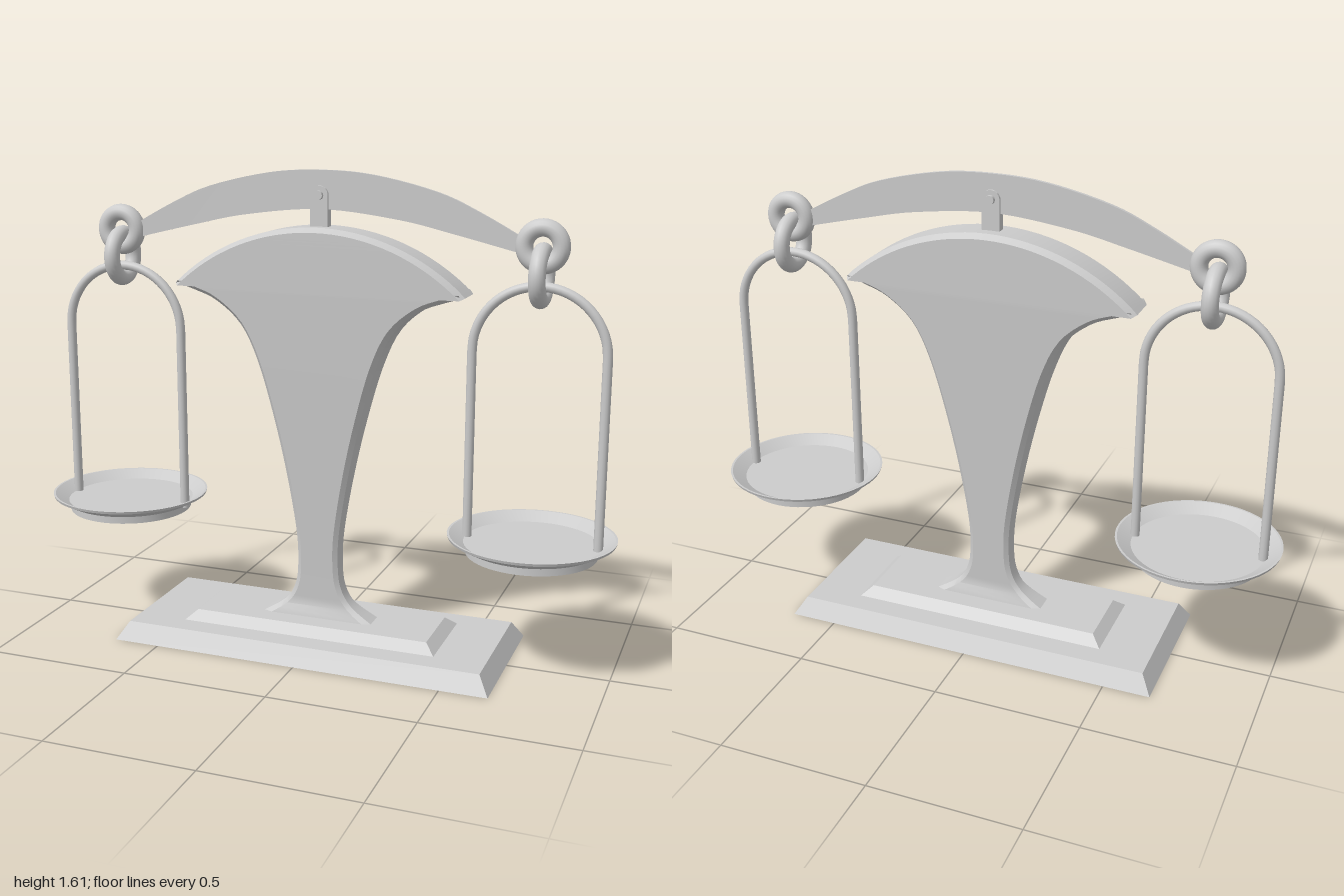
import * as THREE from 'three';
import { toCreasedNormals } from 'three/addons/utils/BufferGeometryUtils.js';

const material = new THREE.MeshStandardMaterial({ color: 0xcccccc });
const V2 = (x, y) => new THREE.Vector2(x, y);

function add(parent, name, geometry, x = 0, y = 0, z = 0) {
  const mesh = new THREE.Mesh(geometry, material);
  mesh.name = name;
  mesh.position.set(x, y, z);
  parent.add(mesh);
  return mesh;
}

// Box whose top is pulled in on all four sides
function slab(w, h, d, inset) {
  const g = new THREE.BoxGeometry(w, h, d).translate(0, h / 2, 0).toNonIndexed();
  const p = g.attributes.position;
  for (let i = 0; i < p.count; i++) {
    if (p.getY(i) < h / 2) continue;
    p.setX(i, p.getX(i) - Math.sign(p.getX(i)) * inset);
    p.setZ(i, p.getZ(i) - Math.sign(p.getZ(i)) * inset);
  }
  g.computeVertexNormals();
  return g;
}

// Half thickness of the pillar at a given height
function pillarDepth(y) {
  const { clamp, lerp } = THREE.MathUtils;
  if (y < 0.15) return lerp(0.05, 0.032, clamp((y - 0.09) / 0.06, 0, 1));
  return lerp(0.032, 0.073, clamp((y - 0.15) / 1.05, 0, 1));
}

// Flared pillar: eight-cornered sections follow the half outline, with bevelled edges
function pillarGeometry() {
  const side = new THREE.SplineCurve([
    V2(0.205, 0.085), V2(0.12, 0.14), V2(0.083, 0.2), V2(0.072, 0.28), V2(0.077, 0.4), V2(0.11, 0.6),
    V2(0.155, 0.8), V2(0.207, 0.98), V2(0.265, 1.1), V2(0.35, 1.175), V2(0.43, 1.208), V2(0.5, 1.228),
  ]).getPoints(44);
  const r = 0.725, start = Math.asin(0.5 / r), crown = [];
  for (let i = 1; i <= 16; i++) {
    const a = start * (1 - i / 16);
    crown.push(V2(r * Math.sin(a), 1.43 - r + r * Math.cos(a)));
  }
  const line = [...side, ...crown], pos = [], index = [];
  line.forEach((p, i) => {
    const t = line[Math.min(i + 1, line.length - 1)].clone().sub(line[Math.max(i - 1, 0)]).normalize();
    const qx = i === line.length - 1 ? 0 : Math.max(0, p.x - 0.015 * t.y);
    const qy = p.y + 0.015 * t.x;
    const zf = pillarDepth(p.y), ze = zf * 0.7;
    pos.push(p.x, p.y, ze, qx, qy, zf, -qx, qy, zf, -p.x, p.y, ze);
    pos.push(-p.x, p.y, -ze, -qx, qy, -zf, qx, qy, -zf, p.x, p.y, -ze);
    if (i === 0) return;
    for (let j = 0; j < 8; j++) {
      const a = (i - 1) * 8 + j, b = (i - 1) * 8 + (j + 1) % 8;
      index.push(a, a + 8, b + 8, a, b + 8, b);
    }
  });
  const g = new THREE.BufferGeometry();
  g.setAttribute('position', new THREE.Float32BufferAttribute(pos, 3));
  g.setIndex(index);
  return toCreasedNormals(g, 0.4);
}

// Thin bowed beam tapering to both ends
function beamGeometry() {
  const mirror = (pts) => [...pts.slice(1).reverse().map((p) => V2(-p.x, p.y)), ...pts];
  const top = mirror([V2(0, 1.61), V2(0.18, 1.598), V2(0.39, 1.55), V2(0.53, 1.49), V2(0.68, 1.41)]);
  const under = mirror([V2(0, 1.485), V2(0.26, 1.46), V2(0.45, 1.42), V2(0.68, 1.365)]);
  const outline = [
    ...new THREE.SplineCurve(top).getPoints(40).reverse(),
    ...new THREE.SplineCurve(under).getPoints(40),
  ];
  const g = new THREE.ExtrudeGeometry(new THREE.Shape(outline), { depth: 0.012, bevelEnabled: false });
  return toCreasedNormals(g.translate(0, 0, -0.006), 0.5);
}

// Round-topped tab carrying the beam
function bracketGeometry() {
  const s = new THREE.Shape();
  s.moveTo(-0.03, 1.4);
  s.lineTo(0.03, 1.4);
  s.lineTo(0.03, 1.53);
  s.absarc(0, 1.53, 0.03, 0, Math.PI);
  s.closePath();
  const g = new THREE.ExtrudeGeometry(s, { depth: 0.03, bevelEnabled: false, curveSegments: 16 });
  return toCreasedNormals(g.translate(0, 0, -0.015), 0.5);
}

// Dish with a raised sloping rim and a short foot
function panGeometry() {
  const profile = [
    V2(0, 0.403), V2(0.213, 0.403), V2(0.213, 0.43), V2(0.222, 0.43),
    V2(0.27, 0.455), V2(0.273, 0.464), V2(0.266, 0.464), V2(0.22, 0.437), V2(0, 0.437),
  ];
  return toCreasedNormals(new THREE.LatheGeometry(profile, 56), 0.4);
}

// Arched wire: two straight legs joined by a half circle
function hangerGeometry() {
  const r = 0.214, spring = 1.056, path = new THREE.CurvePath();
  const arch = [];
  for (let i = 0; i <= 16; i++) {
    const a = Math.PI * (1 - i / 16);
    arch.push(new THREE.Vector3(r * Math.cos(a), spring + r * Math.sin(a), 0));
  }
  const foot = (x) => new THREE.Vector3(x, 0.42, 0);
  path.add(new THREE.LineCurve3(foot(-r), arch[0]));
  path.add(new THREE.CatmullRomCurve3(arch));
  path.add(new THREE.LineCurve3(arch[16], foot(r)));
  return new THREE.TubeGeometry(path, 90, 0.0155, 12);
}

export function createModel() {
  const model = new THREE.Group();
  model.name = 'balanceScale';

  // Stepped base and pillar
  add(model, 'base', slab(1.32, 0.06, 0.53, 0.037));
  add(model, 'baseStep', slab(0.9, 0.032, 0.3, 0.036), 0, 0.059);
  add(model, 'pillar', pillarGeometry());

  // Beam with its pivot
  add(model, 'beam', beamGeometry());
  add(model, 'pivotBracket', bracketGeometry());
  add(model, 'pivotPin', new THREE.CylinderGeometry(0.015, 0.015, 0.056, 16).rotateX(Math.PI / 2), 0, 1.53);

  // Linked rings, hanger and pan at each end
  for (const [name, sign] of [['left', 1], ['right', -1]]) {
    const side = new THREE.Group();
    side.name = name + 'Side';
    side.position.x = sign * 0.727;
    add(side, 'beamRing', new THREE.TorusGeometry(0.058, 0.028, 16, 40), 0, 1.394);
    add(side, 'hangerRing', new THREE.TorusGeometry(0.076, 0.027, 16, 40).rotateY(Math.PI / 2), 0, 1.304);
    add(side, 'hanger', hangerGeometry());
    add(side, 'pan', panGeometry());
    model.add(side);
  }
  return model;
}
